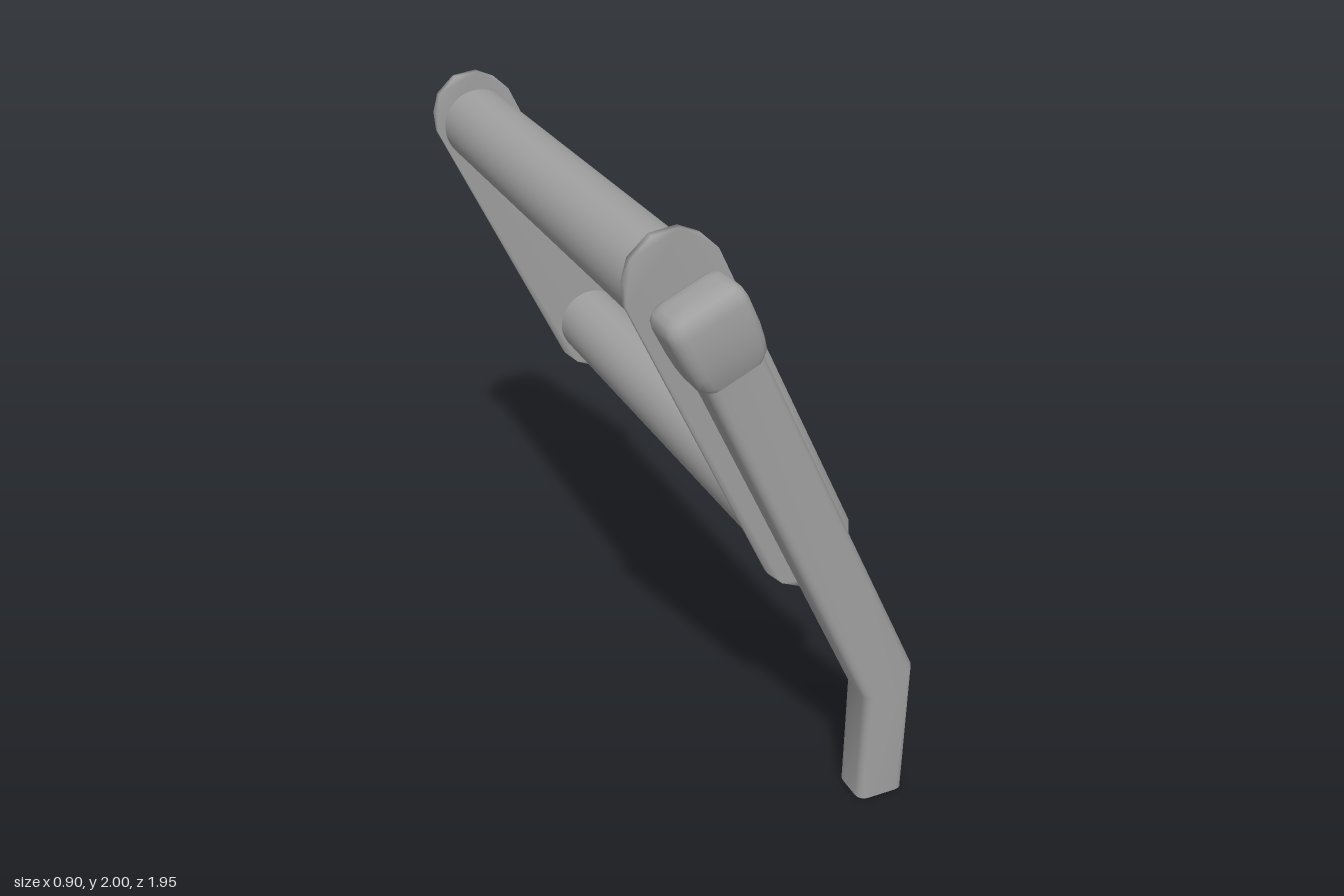
import * as THREE from 'three';
import { mergeVertices, toCreasedNormals } from 'three/addons/utils/BufferGeometryUtils.js';

const grey = new THREE.MeshStandardMaterial({ color: 0xa0a0a0, side: THREE.DoubleSide });
grey.name = 'grey metal';

const TILT = 0.447; // lean of the upper post and plates, towards -x
const TOP = [-0.3, 1.81], LOW = [0.115, 0.97];

// Closed loop of a rounded rectangle, in section coordinates
function roundedRect(hw, hd, r) {
  const pts = [];
  for (let c = 0; c < 4; c++) {
    const sx = c === 0 || c === 3 ? 1 : -1, sz = c < 2 ? 1 : -1;
    for (let i = 0; i <= 4; i++) {
      const a = (c + i / 4) * Math.PI / 2;
      pts.push([sx * (hw - r) + r * Math.cos(a), sz * (hd - r) + r * Math.sin(a)]);
    }
  }
  return pts;
}

// Skin over sections: [centre x, centre y, turn, half width, half depth, corner radius]
function loft(sections, z) {
  const pos = [], index = [];
  let n = 0;
  sections.forEach(([x, y, turn, hw, hd, r], s) => {
    const loop = roundedRect(hw, hd, r);
    n = loop.length;
    loop.forEach(([w, d], i) => {
      pos.push(x + w * Math.cos(turn), y + w * Math.sin(turn), z + d);
      if (s === 0) return;
      const j = (i + 1) % n, a = (s - 1) * n, b = s * n;
      index.push(a + i, b + i, a + j, a + j, b + i, b + j);
    });
  });
  // Close the upper end; the foot stays open
  const last = (sections.length - 1) * n;
  for (let i = 1; i < n - 1; i++) index.push(last, last + i + 1, last + i);
  const geo = new THREE.BufferGeometry();
  geo.setAttribute('position', new THREE.Float32BufferAttribute(pos, 3));
  geo.setIndex(index);
  return toCreasedNormals(geo, 0.75);
}

function add(group, name, geo) {
  const mesh = new THREE.Mesh(geo, grey);
  mesh.name = name;
  group.add(mesh);
  return mesh;
}

export function createModel() {
  const model = new THREE.Group();
  model.name = 'rollerFrame';

  // Bent post: upright foot, then leaning arm
  add(model, 'post', loft([
    [0.3625, 0, 0, 0.0825, 0.07, 0.03],
    [0.3625, 0.445, 0.5, 0.094, 0.07, 0.03],
    [-0.2, 1.62, TILT, 0.094, 0.07, 0.03],
    [-0.222, 1.665, TILT, 0.094, 0.07, 0.03],
  ], 0.885));

  // Soft knob over the end of the post; u runs along the arm
  const knob = [
    [0, 0.09, 0.072, 0.03], [0.022, 0.111, 0.078, 0.035], [0.06, 0.118, 0.085, 0.04],
    [0.11, 0.122, 0.09, 0.04], [0.195, 0.124, 0.09, 0.04], [0.222, 0.12, 0.085, 0.04],
    [0.24, 0.107, 0.073, 0.035], [0.25, 0.085, 0.052, 0.03], [0.254, 0.045, 0.025, 0.02],
  ];
  add(model, 'knob', loft(knob.map(([u, hw, hd, r]) =>
    [-0.2 - u * Math.sin(TILT), 1.62 + u * Math.cos(TILT), TILT, hw, hd, r]), 0.885));

  // Two rollers between the plates
  [['upperRoller', TOP], ['lowerRoller', LOW]].forEach(([name, [x, y]]) => {
    const roller = add(model, name, new THREE.CylinderGeometry(0.127, 0.127, 1.73, 40));
    roller.rotation.x = Math.PI / 2;
    roller.position.set(x, y, -0.09);
  });

  // Thin end plates with blunt rounded ends
  const half = Math.hypot(TOP[0] - LOW[0], TOP[1] - LOW[1]) / 2;
  const end = [[0.149, 0.058], [0.125, 0.12], [0.08, 0.172], [0, 0.197],
    [-0.08, 0.172], [-0.125, 0.12], [-0.149, 0.058]];
  const outline = [...end.map(([w, u]) => new THREE.Vector2(w, half + u)),
    ...end.map(([w, u]) => new THREE.Vector2(-w, -half - u))];
  [['frontPlate', 0.765], ['backPlate', -0.972]].forEach(([name, z]) => {
    let geo = new THREE.ExtrudeGeometry(new THREE.Shape(outline), { depth: 0.026, bevelEnabled: false });
    geo.deleteAttribute('uv');
    geo.deleteAttribute('normal');
    geo = mergeVertices(geo); // shared normals give the softly shaded faces
    geo.computeVertexNormals();
    const plate = add(model, name, geo);
    plate.rotation.z = TILT;
    plate.position.set((TOP[0] + LOW[0]) / 2, (TOP[1] + LOW[1]) / 2, z);
  });

  return model;
}
